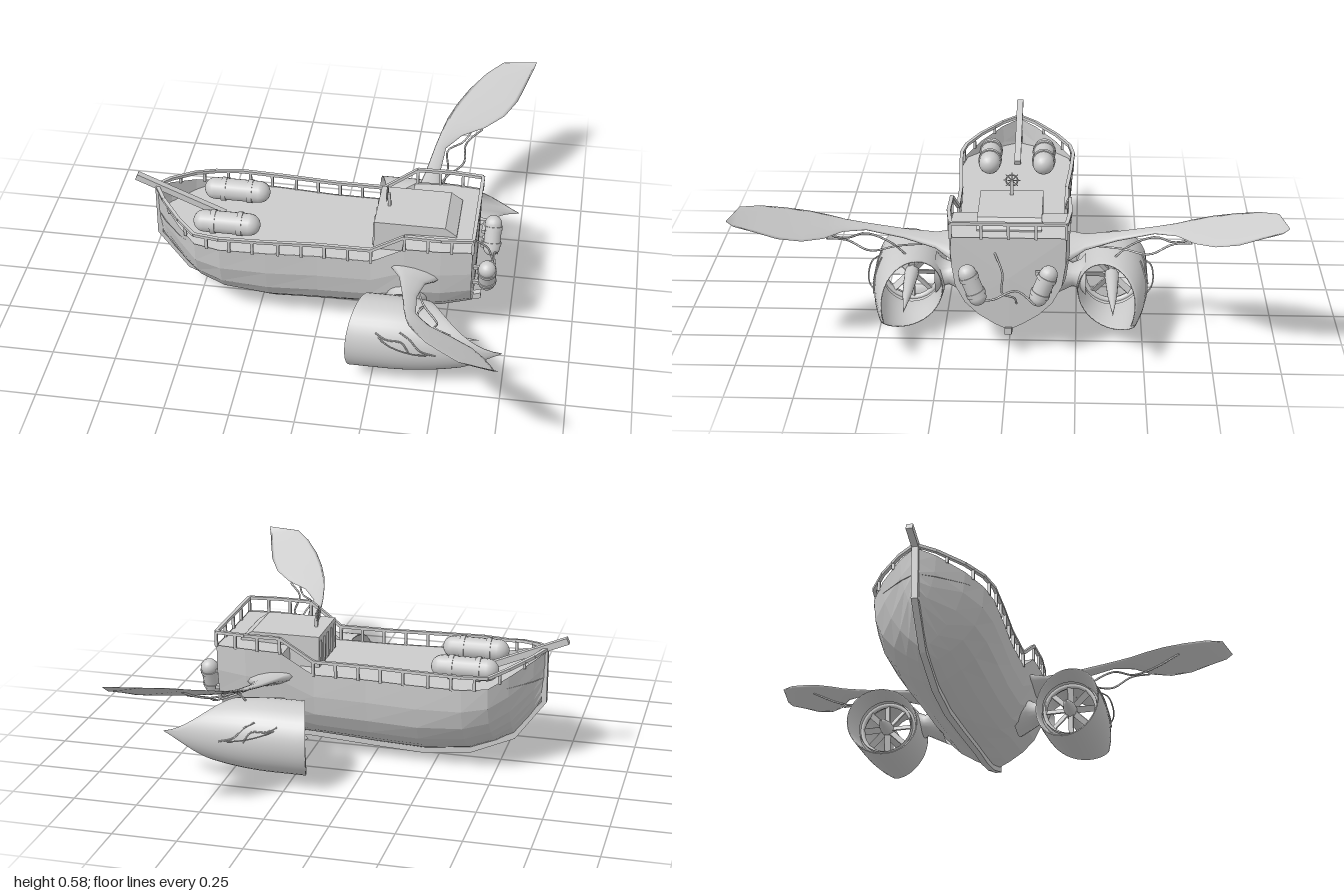
import * as THREE from 'three';

const mat = (flat) => new THREE.MeshStandardMaterial({ color: 0xcccccc, flatShading: flat, side: THREE.DoubleSide });
const FLAT = mat(true), SMOOTH = mat(false);
const V = (x, y, z) => new THREE.Vector3(x, y, z);

function add(parent, name, geo, material = SMOOTH, pos) {
  const m = new THREE.Mesh(geo, material);
  m.name = name;
  if (pos) m.position.set(...pos);
  parent.add(m);
  return m;
}

// Skin through equal-length cross-sections
function loft(rings, closed = true) {
  const n = rings[0].length, pos = [], idx = [];
  rings.forEach((r) => r.forEach((p) => pos.push(p.x, p.y, p.z)));
  for (let i = 0; i < rings.length - 1; i++)
    for (let j = 0; j < (closed ? n : n - 1); j++) {
      const a = i * n + j, b = i * n + (j + 1) % n;
      idx.push(a, b, a + n, b, b + n, a + n);
    }
  const g = new THREE.BufferGeometry();
  g.setAttribute('position', new THREE.Float32BufferAttribute(pos, 3));
  g.setIndex(idx);
  g.computeVertexNormals();
  return g;
}

// Square bar between two points
function beam(parent, name, a, b, w, h = w) {
  const m = add(parent, name, new THREE.BoxGeometry(w, h, a.distanceTo(b)), FLAT);
  m.position.copy(a).lerp(b, 0.5);
  m.lookAt(b);
  return m;
}

const hose = (parent, name, pts, r = 0.004) =>
  add(parent, name, new THREE.TubeGeometry(new THREE.CatmullRomCurve3(pts.map((p) => V(...p))), 24, r, 6));

// Hull stations: x, keel height, half width, top edge height, fullness
const ST = [
  [-0.67, 0.28, 0.004, 0.475, 1.8], [-0.63, 0.21, 0.07, 0.455, 2], [-0.55, 0.115, 0.16, 0.415, 2.3],
  [-0.48, 0.08, 0.215, 0.38, 2.7], [-0.38, 0.04, 0.23, 0.372, 3.1], [-0.2, 0.018, 0.222, 0.37, 3.5],
  [0, 0.026, 0.208, 0.37, 3.8], [0.21, 0.04, 0.207, 0.37, 4], [0.34, 0.045, 0.222, 0.455, 4.2],
  [0.48, 0.055, 0.225, 0.46, 4.2], [0.6, 0.09, 0.212, 0.46, 4],
];
function at(x, col) {
  let i = 0;
  while (i < ST.length - 2 && x > ST[i + 1][0]) i++;
  return THREE.MathUtils.lerp(ST[i][col], ST[i + 1][col], (x - ST[i][0]) / (ST[i + 1][0] - ST[i][0]));
}

function buildHull(g) {
  const rows = [0, 0.07, 0.17, 0.3, 0.48, 0.72, 1];
  const section = ([x, yb, w, yt, p]) => {
    const half = rows.map((t) => V(x, yb + (yt - yb) * t, w * (1 - (1 - t) ** p)));
    return [...half.slice(1).reverse(), ...half.map((q) => V(q.x, q.y, -q.z))];
  };
  const secs = ST.map(section);
  add(g, 'hull', loft(secs, false), FLAT);
  const stern = secs[secs.length - 1];
  add(g, 'transom', loft([stern, stern.map(() => V(0.605, 0.3, 0))]), FLAT);

  // Main deck, step and quarterdeck
  const deck = [...ST.slice(0, 8).map((s) => [s[0], 0.368]), [0.33, 0.368], [0.33, 0.45], [0.48, 0.456], [0.6, 0.456]];
  add(g, 'deck', loft(deck.map(([x, y]) => [V(x, y, at(x, 2) - 0.003), V(x, y, 0.003 - at(x, 2))]), false), FLAT);

  // Keel and stem
  const low = [[-0.675, 0.48], [-0.675, 0.265], [-0.555, 0.1], [-0.38, 0.022], [-0.2, 0], [0, 0.01], [0.27, 0.028],
    [0.38, 0.028], [0.5, 0.045], [0.63, 0.085]];
  const high = low.map(([x, y], i) => [x + (i < 3 ? 0.02 : 0), y + (i > 1 ? 0.026 : 0)]).reverse();
  const keel = new THREE.ExtrudeGeometry(new THREE.Shape([...low, ...high].map((p) => new THREE.Vector2(...p))),
    { depth: 0.026, bevelEnabled: false });
  add(g, 'keel', keel, FLAT, [0, 0, -0.013]);
  beam(g, 'bowsprit', V(-0.75, 0.525, 0), V(-0.4, 0.375, 0), 0.026);
}

function buildRails(g) {
  const railY = (x) => x < -0.48 ? 0.425 + (-0.48 - x) * 0.32 : x < 0.21 ? 0.425 : Math.min(0.515, 0.425 + (x - 0.21) * 0.7);
  const xs = [-0.67, -0.63, -0.55, -0.48, -0.38, -0.2, 0, 0.21, 0.34, 0.48, 0.6];
  for (const s of [1, -1]) {
    const top = (x) => V(x, railY(x), s * at(x, 2));
    for (let i = 1; i < xs.length; i++) beam(g, 'rail', top(xs[i - 1]), top(xs[i]), 0.014, 0.012);
    for (const x of [-0.6, -0.52, -0.43, -0.34, -0.25, -0.15, -0.06, 0.03, 0.12, 0.21, 0.34, 0.43, 0.52, 0.6])
      beam(g, 'railPost', V(x, at(x, 3) - 0.005, s * at(x, 2)), top(x), 0.011);
  }
  beam(g, 'sternRail', V(0.6, 0.515, -0.212), V(0.6, 0.515, 0.212), 0.014, 0.012);
  for (const z of [-0.1, 0, 0.1]) beam(g, 'railPost', V(0.6, 0.455, z), V(0.6, 0.515, z), 0.011);
}

function buildCabin(g) {
  const side = [[0.21, 0.365], [0.53, 0.365], [0.53, 0.462], [0.485, 0.494], [0.21, 0.494]];
  const geo = new THREE.ExtrudeGeometry(new THREE.Shape(side.map((p) => new THREE.Vector2(...p))), { depth: 0.24, bevelEnabled: false });
  add(g, 'cabin', geo, FLAT, [0, 0, -0.12]);
  for (let i = 0; i < 5; i++) add(g, 'cabinFrame', new THREE.BoxGeometry(0.008, 0.1, 0.01), FLAT, [0.208, 0.425, -0.1 + i * 0.05]);

  // Steering wheel on its stand
  const wheel = new THREE.Group();
  wheel.name = 'steeringWheel';
  wheel.position.set(0.245, 0.548, 0);
  add(wheel, 'rim', new THREE.TorusGeometry(0.022, 0.003, 6, 20).rotateY(Math.PI / 2));
  for (let i = 0; i < 4; i++)
    add(wheel, 'spoke', new THREE.CylinderGeometry(0.002, 0.002, 0.064, 6)).rotation.x = i * Math.PI / 4;
  g.add(wheel);
  beam(g, 'wheelStand', V(0.255, 0.49, 0), V(0.252, 0.55, 0), 0.012);
}

function tank(parent, name, r, len) {
  const t = new THREE.Group();
  t.name = name;
  add(t, 'tankBody', new THREE.CapsuleGeometry(r, len - 2 * r, 6, 16));
  for (const s of [-1, 1]) add(t, 'band', new THREE.CylinderGeometry(r * 1.1, r * 1.1, r * 0.45, 16), SMOOTH, [0, s * len * 0.2, 0]);
  parent.add(t);
  return t;
}

function buildWing(g) {
  // z, leading x, trailing x, height, half thickness
  const cuts = [[0.18, 0.27, 0.49, 0.335, 0.035], [0.23, 0.3, 0.47, 0.343, 0.026], [0.28, 0.33, 0.43, 0.355, 0.015],
    [0.4, 0.355, 0.412, 0.382, 0.01], [0.54, 0.378, 0.422, 0.415, 0.007], [0.62, 0.395, 0.48, 0.434, 0.005],
    [0.68, 0.412, 0.57, 0.45, 0.004], [0.75, 0.443, 0.645, 0.474, 0.003], [0.83, 0.488, 0.693, 0.503, 0.003],
    [0.91, 0.55, 0.722, 0.538, 0.003], [0.975, 0.615, 0.744, 0.562, 0.002], [1, 0.75, 0.755, 0.574, 0.001]];
  add(g, 'wing', loft(cuts.map(([z, a, b, y, t]) => Array.from({ length: 12 }, (_, i) => {
    const q = i * Math.PI / 6, c = Math.cos(q);
    return V((a + b) / 2 - c * (b - a) / 2, y + t * Math.sin(q) + c * (b - a) * 0.1, z);
  }))));
  hose(g, 'wingHose', [[0.42, 0.3, 0.38], [0.44, 0.37, 0.45], [0.43, 0.4, 0.54], [0.49, 0.405, 0.61], [0.525, 0.44, 0.69], [0.53, 0.497, 0.8]]);
  hose(g, 'wingHose', [[0.4, 0.35, 0.3], [0.44, 0.355, 0.42], [0.5, 0.36, 0.52], [0.5, 0.4, 0.6], [0.56, 0.432, 0.67]]);
}

function buildEngine(g) {
  const CY = 0.18, CZ = 0.385, N = 40, M = 14;
  const radius = (x) => 0.137 - (x > 0.3 ? 0.07 * ((x - 0.3) / 0.44) ** 2 : 0);
  const front = (a) => 0.24 - 0.085 * ((1 + Math.cos(a)) / 2) ** 0.8;
  const rear = (a) => 0.43 + 0.315 * (1 - Math.abs(a) / Math.PI) ** 2.2;
  const shell = (x, a, off = 0) => {
    const r = radius(x) + off;
    return V(x, CY + r * 1.05 * Math.sin(a), CZ + r * Math.cos(a));
  };
  // Scooped cowling: outer skin, then back along the inner skin
  const ring = (u, off) => Array.from({ length: N }, (_, j) => {
    const a = -Math.PI + j * 2 * Math.PI / N;
    return shell(THREE.MathUtils.lerp(front(a), rear(a), u), a, off);
  });
  const rings = [];
  for (let i = 0; i <= M; i++) rings.push(ring(i / M, 0));
  for (let i = M; i >= 0; i--) rings.push(ring(i / M, -0.004 - 0.02 * Math.sin(Math.PI * i / M)));
  rings.push(ring(0, 0));
  add(g, 'cowling', loft(rings));

  // Fan with long tail spinner
  const fan = new THREE.Group();
  fan.name = 'fan';
  fan.position.set(0.28, CY, CZ);
  add(fan, 'fanRing', new THREE.CylinderGeometry(0.112, 0.112, 0.07, 32, 1, true).rotateZ(Math.PI / 2));
  add(fan, 'fanRim', new THREE.TorusGeometry(0.109, 0.012, 8, 32).rotateY(Math.PI / 2));
  const prof = [[0, -0.1], [0.014, -0.08], [0.026, -0.03], [0.027, 0.03], [0.018, 0.2], [0, 0.38]];
  add(fan, 'spinner', new THREE.LatheGeometry(prof.map((p) => new THREE.Vector2(...p)), 20).rotateZ(-Math.PI / 2));
  for (let i = 0; i < 8; i++) {
    const blade = new THREE.BoxGeometry(0.005, 0.09, 0.026).rotateY(0.6).translate(0, 0.06, 0);
    add(fan, 'blade', blade, FLAT).rotation.x = i * Math.PI / 4;
  }
  g.add(fan);

  // Flared pylon from hull to cowling
  const flare = [[0.15, 0.1, 0.085], [0.2, 0.075, 0.06], [0.235, 0.055, 0.042], [0.265, 0.065, 0.055], [0.285, 0.085, 0.08]];
  add(g, 'pylon', loft(flare.map(([z, rx, ry]) => Array.from({ length: 20 }, (_, i) =>
    V(0.35 + rx * Math.cos(i * Math.PI / 10), 0.21 + ry * Math.sin(i * Math.PI / 10), z)))));

  // Surface veins and an outer hose loop
  for (const line of [[[0.27, 0.6], [0.31, 0.45], [0.37, 0.4], [0.4, 0.1]], [[0.36, 0.68], [0.4, 0.5], [0.44, 0.2], [0.5, 0.04]]])
    hose(g, 'vein', line.map(([x, a]) => shell(x, a, 0.002).toArray()), 0.003);
  hose(g, 'outerHose', [[0.27, 0.25, 0.49], [0.31, 0.24, 0.53], [0.37, 0.22, 0.54], [0.44, 0.2, 0.53], [0.5, 0.18, 0.49]], 0.003);
}

export function createModel() {
  const model = new THREE.Group();
  model.name = 'flyingShip';
  buildHull(model);
  buildRails(model);
  buildCabin(model);

  // Paired wings, engines and tanks
  for (const s of [1, -1]) {
    const side = new THREE.Group();
    side.name = s > 0 ? 'leftSide' : 'rightSide';
    side.scale.z = s;
    buildWing(side);
    buildEngine(side);
    const d = tank(side, 'deckTank', 0.044, 0.265);
    d.position.set(-0.37, 0.418, 0.11);
    d.rotation.z = Math.PI / 2;
    const r = tank(side, 'sternTank', 0.034, 0.165);
    r.position.set(0.655, 0.295, 0.13);
    r.rotation.x = 0.38;
    for (const y of [0.26, 0.33]) beam(side, 'tankBracket', V(0.59, y, 0.13), V(0.65, y, 0.13), 0.014);
    model.add(side);
  }
  hose(model, 'sternHose', [[0.6, 0.4, 0.05], [0.65, 0.34, 0.02], [0.67, 0.27, 0.02], [0.66, 0.25, -0.02], [0.6, 0.2, -0.03]]);
  hose(model, 'sternHose', [[0.65, 0.23, 0.1], [0.68, 0.25, 0.05], [0.67, 0.28, -0.03], [0.68, 0.23, -0.1]]);
  return model;
}
